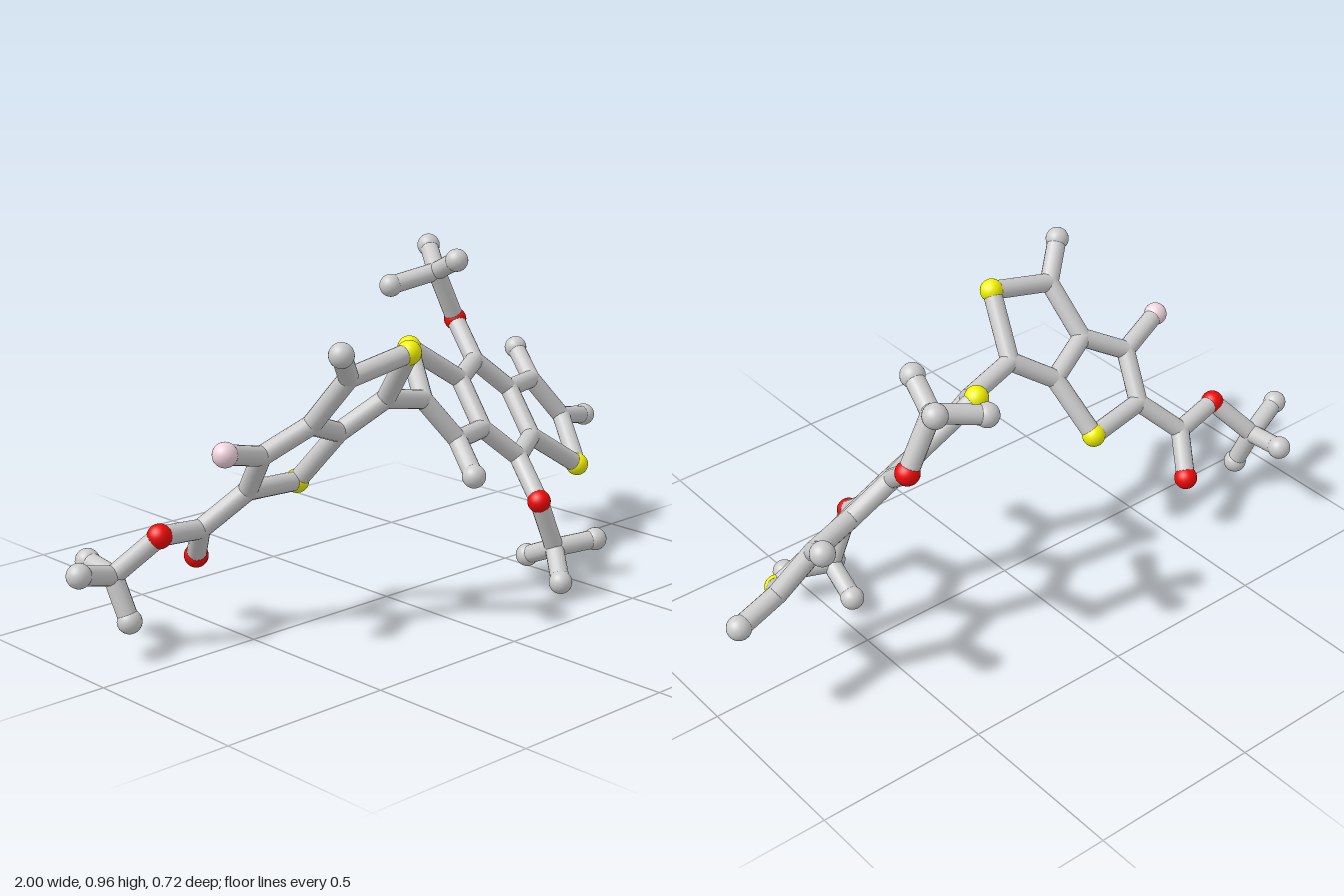
import * as THREE from 'three';

const BALL = 0.034, STICK = 0.0275;
const mat = (color) => new THREE.MeshStandardMaterial({ color });
const grey = mat(0xcccccc), yellow = mat(0xf2f200), red = mat(0xee0808), pink = mat(0xf0d4dc);

// kind of atom: name, radius, material (joints are rounded stick ends)
const KINDS = {
  C: ['carbonJoint', STICK, grey],
  H: ['hydrogenBall', BALL, grey],
  S: ['sulfurBall', BALL, yellow],
  O: ['oxygenBall', BALL, red],
  F: ['fluorineBall', BALL, pink],
};

const ballGeo = new THREE.SphereGeometry(1, 24, 16);
const stickGeo = new THREE.CylinderGeometry(STICK, STICK, 1, 16, 1, true);
const UP = new THREE.Vector3(0, 1, 0);

// Builds one named fragment; the first letter of each atom key is its kind
function fragment(name, atoms, bonds) {
  const group = new THREE.Group();
  group.name = name;
  const pos = {};
  for (const [key, p] of Object.entries(atoms)) {
    pos[key] = new THREE.Vector3(...p);
    const [label, radius, material] = KINDS[key[0]];
    const ball = new THREE.Mesh(ballGeo, material);
    ball.name = label;
    ball.scale.setScalar(radius);
    ball.position.copy(pos[key]);
    group.add(ball);
  }
  for (const bond of bonds.split(' ')) {
    const [a, b] = bond.split('-').map((k) => pos[k]);
    const dir = b.clone().sub(a);
    const stick = new THREE.Mesh(stickGeo, grey);
    stick.name = 'bond';
    stick.scale.y = dir.length();
    stick.position.copy(a).addScaledVector(dir, 0.5);
    stick.quaternion.setFromUnitVectors(UP, dir.normalize());
    group.add(stick);
  }
  return group;
}

export function createModel() {
  const model = new THREE.Group();
  model.name = 'molecule';

  // Three fused rings, point-symmetric about their centre: p = one half, q = the other
  const centre = [0.442, 0.489, 0.007];
  const half = {
    Ctop: [0.025, 0.122, -0.115],
    Cupper: [-0.115, 0.1, -0.038],
    Clower: [-0.139, -0.023, 0.077],
    Ccorner: [-0.293, -0.018, 0.127],
    Ctip: [-0.384, 0.106, 0.08],
    S: [-0.295, 0.218, -0.067],
    Hcorner: [-0.336, -0.095, 0.234],
    O: [0.066, 0.224, -0.237],
  };
  const core = {};
  for (const [key, v] of Object.entries(half)) {
    core[key + 'P'] = v.map((n, i) => centre[i] + n);
    core[key + 'Q'] = v.map((n, i) => centre[i] - n);
  }
  core.Hend = [0.963, 0.357, -0.098];
  const halfBonds = ['Ctop-Cupper', 'Cupper-Clower', 'Clower-Ccorner', 'Ccorner-Ctip',
    'Ctip-S', 'S-Cupper', 'Ccorner-Hcorner', 'Ctop-O'];
  const coreBonds = ['P', 'Q'].flatMap((s) => halfBonds.map((b) => b.replace('-', s + '-') + s));
  coreBonds.push('ClowerP-CtopQ', 'ClowerQ-CtopP', 'CtipQ-Hend');
  model.add(fragment('threeRingCore', core, coreBonds.join(' ')));

  // Methyl ends: carbon, the oxygen it hangs from, three hydrogens
  const methyl = (name, from, C, hydrogens) => {
    const atoms = { C, O: from };
    hydrogens.forEach((h, i) => { atoms['H' + i] = h; });
    model.add(fragment(name, atoms, 'O-C C-H0 C-H1 C-H2'));
  };
  methyl('upperMethyl', core.OP, [0.433, 0.868, -0.237],
    [[0.408, 0.918, -0.128], [0.489, 0.93, -0.327], [0.297, 0.835, -0.293]]);
  methyl('lowerMethyl', core.OQ, [0.448, 0.108, 0.243],
    [[0.458, 0.056, 0.128], [0.382, 0.038, 0.328], [0.579, 0.116, 0.287]]);

  // Two fused rings with the fluorine and the ester arm
  const esterO = [-0.745, 0.333, -0.083];
  model.add(fragment('twoRingWing', {
    Clink: [-0.115, 0.632, 0.116],
    Sa: [-0.157, 0.789, 0.25],
    Ctop: [-0.358, 0.75, 0.232],
    Ca: [-0.386, 0.607, 0.115],
    Cb: [-0.238, 0.55, 0.061],
    Sb: [-0.285, 0.397, -0.06],
    Cester: [-0.483, 0.415, -0.034],
    Cfluor: [-0.515, 0.537, 0.064],
    Fl: [-0.675, 0.58, 0.11],
    Htop: [-0.446, 0.835, 0.301],
    Carm: [-0.587, 0.312, -0.11],
    Odouble: [-0.537, 0.206, -0.195],
    Osingle: esterO,
  }, 'Clink-Sa Sa-Ctop Ctop-Ca Ca-Cb Cb-Clink Cb-Sb Sb-Cester Cester-Cfluor Cfluor-Ca '
    + 'Cfluor-Fl Ctop-Htop Cester-Carm Carm-Odouble Carm-Osingle'));
  methyl('esterMethyl', esterO, [-0.836, 0.224, -0.17],
    [[-0.969, 0.264, -0.133], [-0.82, 0.104, -0.125], [-0.832, 0.236, -0.289]]);

  // Bond joining the two ring systems
  model.add(fragment('linkBond', { Ca: [-0.115, 0.632, 0.116], Cb: core.CtipP }, 'Ca-Cb'));

  return model;
}
